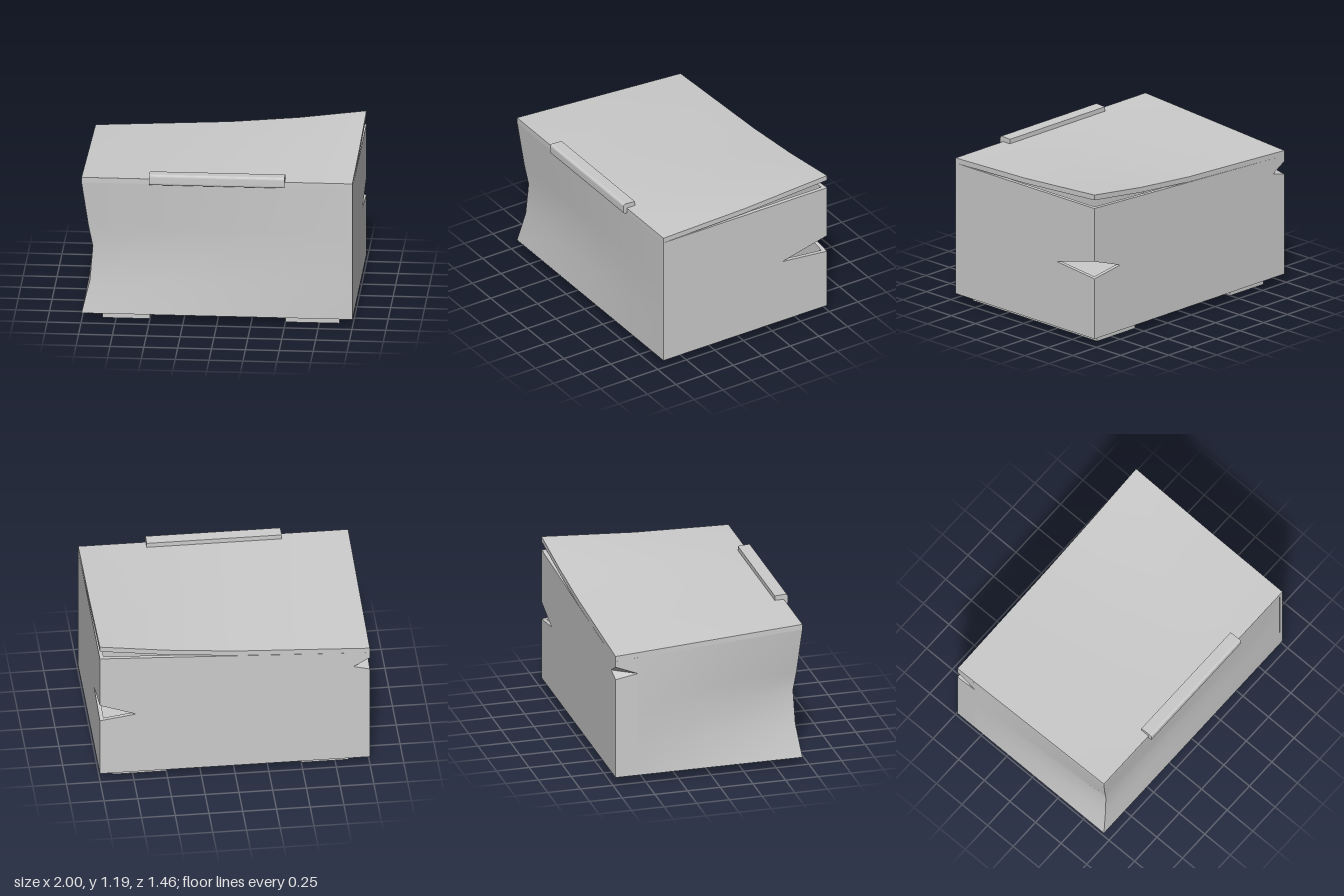
import * as THREE from 'three';

const material = new THREE.MeshStandardMaterial({ color: 0xcccccc, side: THREE.DoubleSide });
const BACK = -0.73, FRONT = 0.7, FLOOR = 0.06, RIM = 1.08, WALL = 0.03;

// Heights of the crushed front edge and how far each is pushed in (0..1)
const rows = [FLOOR, 0.31, 0.57, 0.73, RIM];
const crush = [0, 0.75, 1, 0.62, 0];

function add(group, name, geometry) {
  const mesh = new THREE.Mesh(geometry, material);
  mesh.name = name;
  group.add(mesh);
  return mesh;
}

// Box given by its limits
function block(x0, x1, y0, y1, z0, z1, sx = 1, sy = 1, sz = 1) {
  return new THREE.BoxGeometry(x1 - x0, y1 - y0, z1 - z0, sx, sy, sz)
    .translate((x0 + x1) / 2, (y0 + y1) / 2, (z0 + z1) / 2);
}

// Move every vertex by a rule, then refresh the normals
function bend(geometry, rule) {
  const p = geometry.attributes.position;
  const v = new THREE.Vector3();
  for (let i = 0; i < p.count; i++) {
    rule(v.fromBufferAttribute(p, i));
    p.setXYZ(i, v.x, v.y, v.z);
  }
  geometry.computeVertexNormals();
  return geometry;
}

// Flat board cut from an outline
function board(points, depth) {
  const shape = new THREE.Shape(points.map(([x, y]) => new THREE.Vector2(x, y)));
  return new THREE.ExtrudeGeometry(shape, { depth, bevelEnabled: false });
}

// Snap an evenly spaced height to its row; returns the push at that row
function snapRow(v) {
  const i = Math.round((v.y - FLOOR) / (RIM - FLOOR) * 4);
  v.y = rows[i];
  return crush[i];
}

export function createModel() {
  const group = new THREE.Group();

  // Floor panel and two runners
  add(group, 'floor', block(-0.98, 0.98, FLOOR, 0.09, BACK + 0.01, FRONT - 0.02));
  add(group, 'underside', block(-1, 1, FLOOR, FLOOR + 0.003, BACK, FRONT));
  for (const [x0, x1] of [[-0.85, -0.5], [0.5, 0.9]]) {
    add(group, 'runner', block(x0, x1, 0, FLOOR, -0.66, 0.62));
  }

  // Front wall, crushed along its -x edge
  add(group, 'frontWall', bend(block(-1, 1, FLOOR, RIM, FRONT - WALL, FRONT, 4, 4, 1), v => {
    const push = snapRow(v) * (1 - v.x) / 2;
    v.x += 0.08 * push;
    v.z -= 0.05 * push;
  }));

  // Back wall: split at one corner, nicked at the other, rim sagging toward -x
  add(group, 'backWall', board([
    [-1, FLOOR], [1, FLOOR], [1, 0.53], [0.73, 0.57], [1, 0.665], [1, RIM],
    [-1, 0.985], [-1, 0.94], [-0.88, 0.87], [-1, 0.84],
  ], WALL)).position.z = BACK;

  // +x wall with the split (outline uses -z as its horizontal axis)
  const leftWall = add(group, 'leftWall', board([
    [-FRONT, FLOOR], [-BACK, FLOOR], [-BACK, 0.53], [0.34, 0.57],
    [-BACK, 0.665], [-BACK, RIM], [-FRONT, RIM],
  ], WALL));
  leftWall.rotation.y = Math.PI / 2;
  leftWall.position.x = 1 - WALL;

  // -x wall: crushed front portion and nicked rear portion
  const split = -0.56;
  add(group, 'rightWall', bend(block(-1, -1 + WALL, FLOOR, RIM, split, FRONT, 1, 4, 4), v => {
    const push = snapRow(v) * (v.z - split) / (FRONT - split);
    v.y -= 0.095 * (FRONT - v.z) / (FRONT - BACK) * (v.y - FLOOR) / (RIM - FLOOR);
    v.x += 0.08 * push;
    v.z -= 0.05 * push;
  }));
  const rear = add(group, 'rightWallRear', board([
    [-split, FLOOR], [-BACK, FLOOR], [-BACK, 0.84], [-split, 0.87],
    [-BACK, 0.94], [-BACK, 0.985], [-split, 0.996],
  ], WALL));
  rear.rotation.y = Math.PI / 2;
  rear.position.x = -1;

  // Folded-in faces of the nicked corner
  const nick = new THREE.BufferGeometry();
  const a = [-0.88, 0.87, BACK], b = [-1, 0.87, split];
  nick.setAttribute('position', new THREE.Float32BufferAttribute(
    [a, [-1, 0.84, BACK], b, a, b, [-1, 0.94, BACK]].flat(), 3));
  nick.computeVertexNormals();
  add(group, 'cornerNick', nick);

  // Warped lid: one rear corner lifted, the other pressed down
  const warp = [-0.095, -0.07, -0.045, 0, 0.065];
  const middle = (BACK + FRONT) / 2;
  add(group, 'lid', bend(block(-1, 1, RIM, 1.12, BACK, FRONT, 4, 1, 2), v => {
    const lift = warp[Math.round((v.x + 1) * 2)];
    const atMiddle = Math.abs(v.z - middle) < 0.1;
    v.y += lift * (atMiddle ? (lift > 0 ? 0.3 : 0.5) : v.z < middle ? 1 : 0);
  }));

  // Hooked latch strip over the front edge of the lid
  const hook = new THREE.Shape();
  hook.moveTo(-0.63, 1.12);
  hook.lineTo(-0.63, 1.155);
  hook.lineTo(-0.71, 1.16);
  hook.quadraticCurveTo(-0.73, 1.16, -0.73, 1.14);
  hook.lineTo(-0.73, 1.1);
  hook.quadraticCurveTo(-0.73, 1.08, -0.715, 1.08);
  hook.lineTo(-0.7, 1.08);
  hook.lineTo(-0.7, 1.12);
  const latch = add(group, 'latch',
    new THREE.ExtrudeGeometry(hook, { depth: 1, bevelEnabled: false, curveSegments: 4 }));
  latch.rotation.y = Math.PI / 2;
  latch.position.x = -0.5;

  return group;
}
